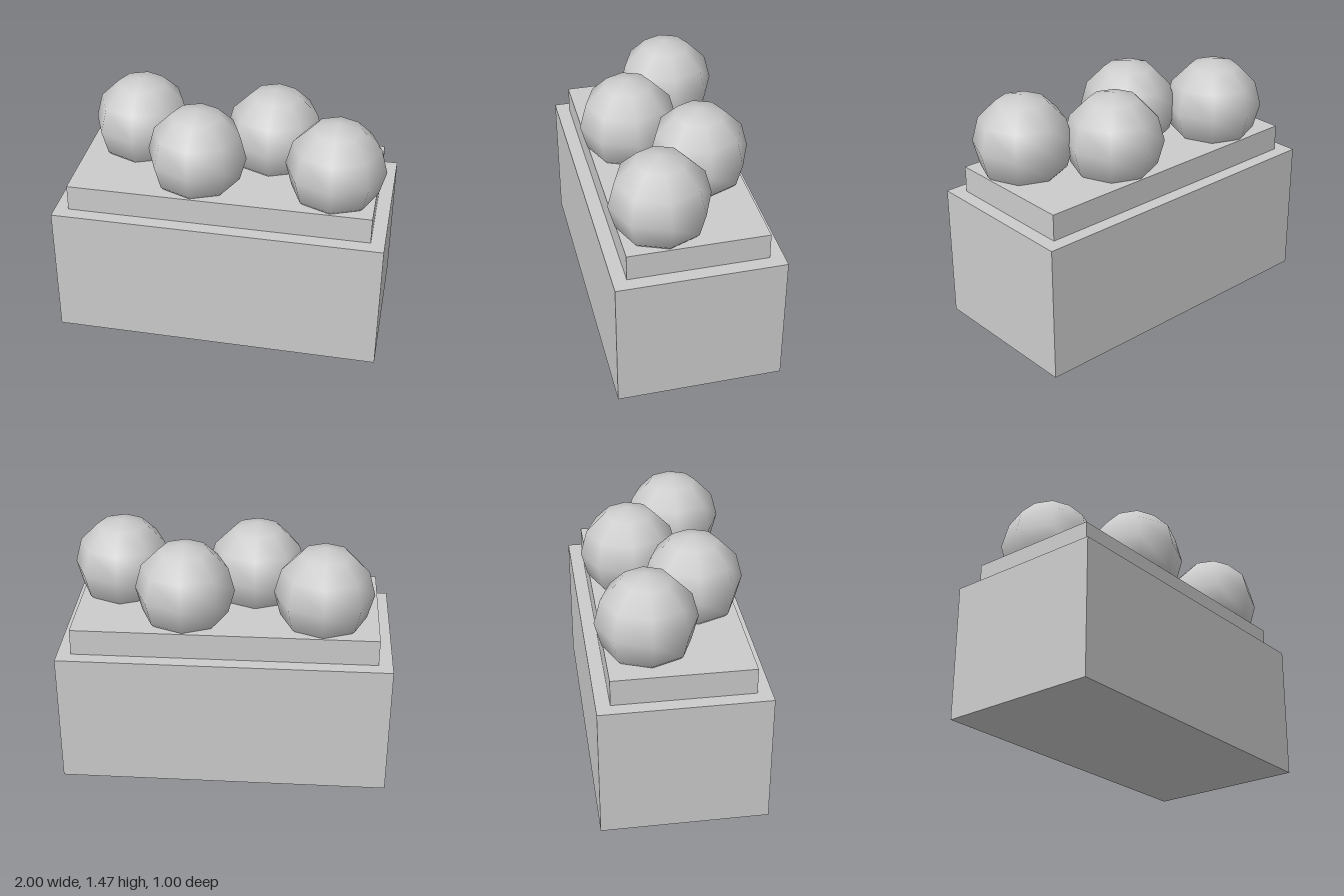
import * as THREE from 'three';

export function createModel() {
  const group = new THREE.Group();
  const material = new THREE.MeshStandardMaterial({ color: 0xcccccc });

  const add = (name, geometry, x, y, z) => {
    const mesh = new THREE.Mesh(geometry, material);
    mesh.name = name;
    mesh.position.set(x, y, z);
    group.add(mesh);
  };

  // Planter body and the slightly smaller slab on top of it
  const baseTop = 0.833, slabTop = 0.995;
  add('base', new THREE.BoxGeometry(2, baseTop, 1), 0, baseTop / 2, 0);
  add('topSlab', new THREE.BoxGeometry(1.833, slabTop - baseTop, 0.833), 0, (baseTop + slabTop) / 2, 0);

  // Four low-poly balls in a zigzag, sunk into the slab
  const ball = new THREE.SphereGeometry(0.3, 8, 6);
  for (let i = 0; i < 4; i++) {
    add(`ball${i + 1}`, ball, -0.583 + i * 0.4167, 1.167, i % 2 ? 0.167 : -0.167);
  }

  return group;
}
